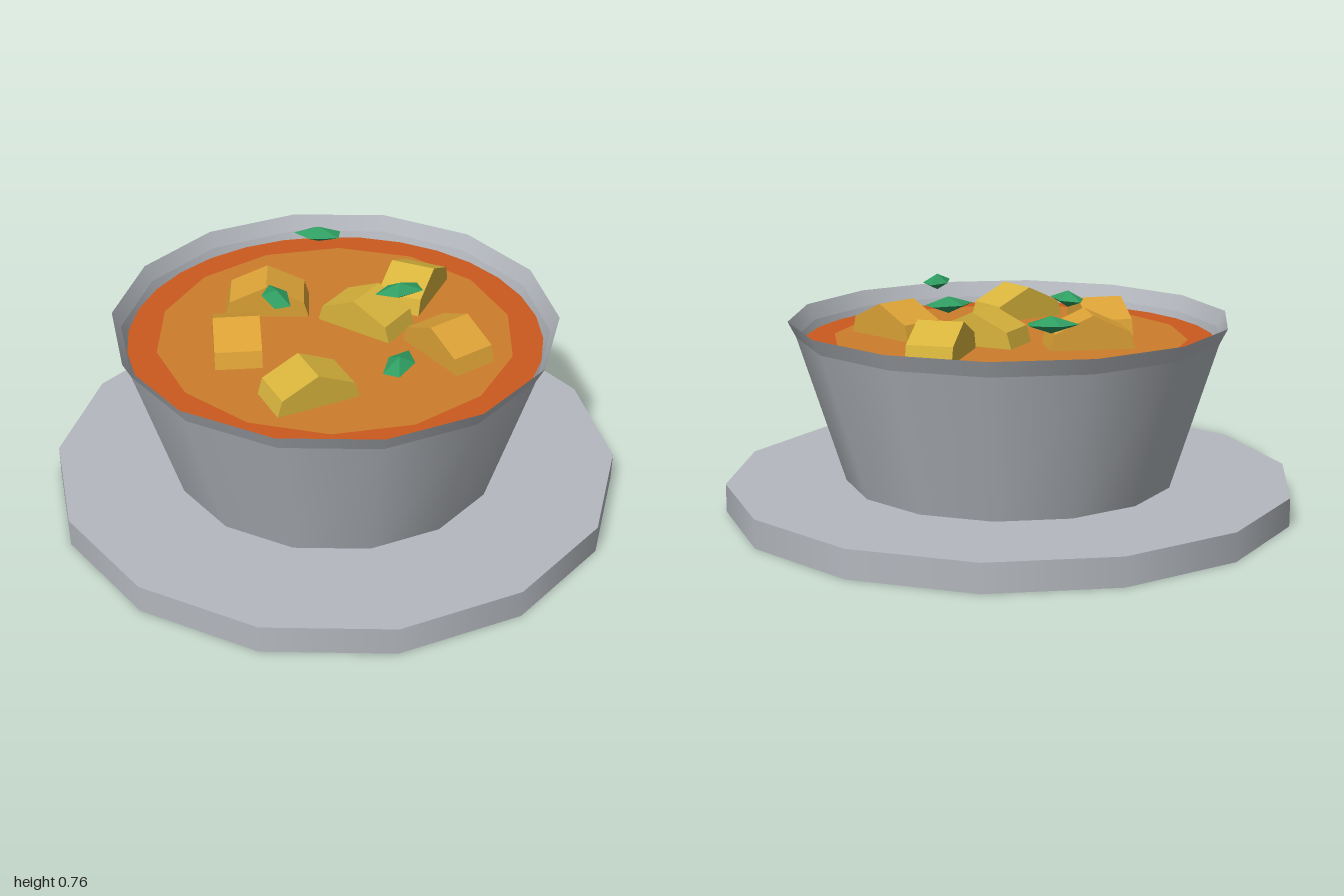
import * as THREE from 'three';

const mat = (name, color, extra = {}) => {
  const m = new THREE.MeshStandardMaterial({ color, ...extra });
  m.name = name;
  return m;
};

export function createModel() {
  const group = new THREE.Group();
  const ceramic = mat('ceramic grey', 0xb4b8be, { side: THREE.DoubleSide });
  const soupRed = mat('soup orange', 0xcb5a1e, { side: THREE.DoubleSide });
  const soupGold = mat('broth amber', 0xcc7d2b);
  const yellow = mat('chunk yellow', 0xd8b43c, { flatShading: true });
  const gold = mat('chunk gold', 0xdca236, { flatShading: true });
  const green = mat('herb green', 0x2f9e62, { flatShading: true });

  const add = (name, geometry, material, x = 0, y = 0, z = 0, turn = 0) => {
    const mesh = new THREE.Mesh(geometry, material);
    mesh.name = name;
    mesh.position.set(x, y, z);
    mesh.rotation.y = turn;
    group.add(mesh);
    return mesh;
  };
  // Turn that points local +x along (dx, dz)
  const heading = (dx, dz) => Math.atan2(-dz, dx);

  // Plate and bowl, all fourteen-sided
  add('plate', new THREE.CylinderGeometry(1, 1, 0.1, 14), ceramic, 0, 0.05, 0);
  add('bowlWall', new THREE.CylinderGeometry(0.742, 0.58, 0.515, 14, 1, true), ceramic, 0, 0.3575, 0);
  add('bowlRim', new THREE.CylinderGeometry(0.77, 0.742, 0.055, 14, 1, true), ceramic, 0, 0.6425, 0);

  // Soup surface with a lighter centre
  const disc = (r, n) => new THREE.CircleGeometry(r, n).rotateX(-Math.PI / 2);
  add('soup', disc(0.718, 30), soupRed, 0, 0.593, 0);
  add('soupCentre', disc(0.62, 14), soupGold, 0, 0.598, 0);

  // Chunks: a ridged profile extruded across its width
  const profile = new THREE.Shape([
    [-0.155, 0.57], [0.155, 0.57], [0.13, 0.655], [0, 0.715], [-0.13, 0.655],
  ].map(([x, y]) => new THREE.Vector2(x, y)));
  const chunk = new THREE.ExtrudeGeometry(profile, { depth: 0.16, bevelEnabled: false }).translate(0, 0, -0.08);
  [
    [0.2, -0.34, -9, 56, yellow],
    [0.085, -0.105, 54, 20, yellow],
    [0.4, 0.015, 43, 36, gold],
    [-0.28, -0.13, 55, -14, gold],
    [-0.305, 0.165, 19, 54, gold],
    [0.01, 0.4, 43, -36, yellow],
  ].forEach(([x, z, dx, dz, m], i) => add(`chunk${i + 1}`, chunk, m, x, 0, z, heading(dx, dz)));

  // Herb leaves: flattened five-sided double pyramids
  const leaf = new THREE.SphereGeometry(1, 5, 2).scale(0.092, 0.029, 0.048);
  [
    [-0.175, -0.455, 30, -4],
    [0.2, -0.122, 27, -18],
    [-0.2, 0.03, 15, 24],
    [0.3, 0.35, -4, 30],
  ].forEach(([x, z, dx, dz], i) => add(`herbLeaf${i + 1}`, leaf, green, x, 0.73, z, heading(dx, dz)));

  return group;
}
